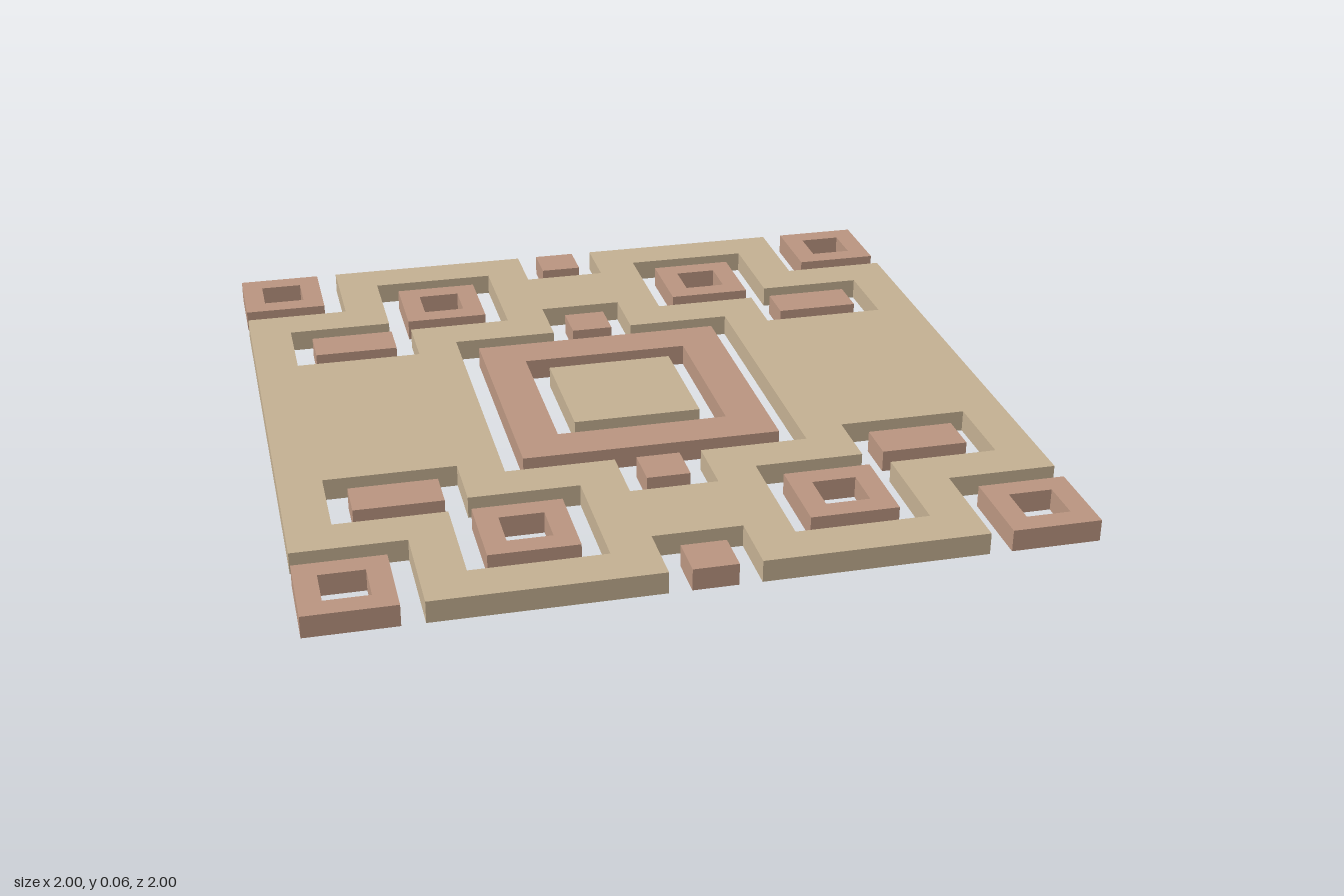
import * as THREE from 'three';

// The pattern lies on a square grid, 34 cells across
const U = 1 / 17;
const sand = new THREE.MeshStandardMaterial({ color: 0xc4b092 });
const clay = new THREE.MeshStandardMaterial({ color: 0xba9580 });

const toPoints = (pts) => pts.map(([x, z]) => new THREE.Vector2(x * U, z * U));
const rect = (x0, z0, x1, z1) => [[x0, z0], [x1, z0], [x1, z1], [x0, z1]];
const mirror = (pts, sx, sz) => pts.map(([x, z]) => [x * sx, z * sz]);

// Complete an outline from its first quadrant
function fourfold(q) {
  const r = [...q].reverse();
  return [...q, ...mirror(r, -1, 1), ...mirror(q, -1, -1), ...mirror(r, 1, -1)];
}

// One-cell-thick slab with cutouts, lying on the ground
function slab(name, material, outline, holes = []) {
  const shape = new THREE.Shape(toPoints(outline));
  shape.holes = holes.map((h) => new THREE.Path(toPoints(h)));
  const geometry = new THREE.ExtrudeGeometry(shape, { depth: U, bevelEnabled: false });
  geometry.rotateX(-Math.PI / 2);
  const mesh = new THREE.Mesh(geometry, material);
  mesh.name = name;
  return mesh;
}

// Square frame one cell wide
function frame(name, x, z) {
  return slab(name, clay, rect(x - 2, z - 2, x + 2, z + 2), [rect(x - 1, z - 1, x + 1, z + 1)]);
}

export function createModel() {
  const model = new THREE.Group();
  model.name = 'patternedTile';
  const quadrants = [[1, 1], [-1, 1], [-1, -1], [1, -1]];

  // Base plate: notched edge, central opening, stepped openings in each quadrant
  const edge = fourfold([[17, 12], [12, 12], [12, 17], [2, 17], [2, 14]]);
  const centre = fourfold([[7, 7], [2, 7], [2, 10]]);
  const step = [[4, 9], [9, 9], [9, 6], [15, 6], [15, 10], [10, 10], [10, 15], [4, 15]];
  const steps = quadrants.map(([sx, sz]) => mirror(step, sx, sz));
  model.add(slab('basePlate', sand, edge, [centre, ...steps]));

  // Centre inlay
  model.add(slab('centreFrame', clay, rect(-6, -6, 6, 6), [rect(-4, -4, 4, 4)]));
  model.add(slab('centreSquare', sand, rect(-3, -3, 3, 3)));

  // Inlays repeated in each quadrant
  for (const [sx, sz] of quadrants) {
    model.add(frame('cornerFrame', 15 * sx, 15 * sz));
    model.add(frame('innerFrame', 7 * sx, 12 * sz));
    const x = 12 * sx, z = 8 * sz;
    model.add(slab('barInlay', clay, rect(x - 2, z - 1, x + 2, z + 1)));
  }

  // Small squares along the middle axis
  for (const z of [-16, -8, 8, 16]) {
    model.add(slab('smallSquare', clay, rect(-1, z - 1, 1, z + 1)));
  }
  return model;
}
